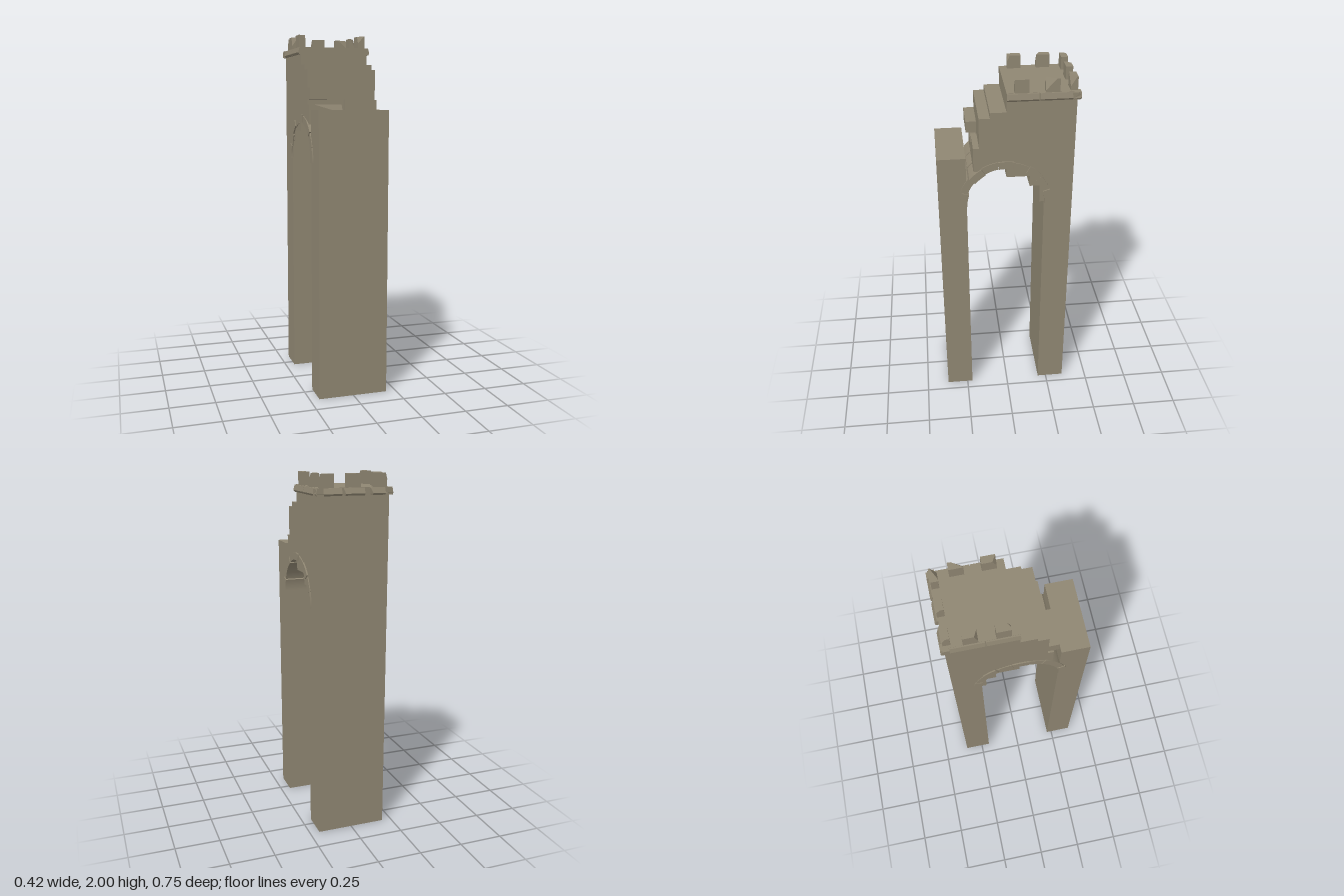
import * as THREE from 'three';
import { ConvexGeometry } from 'three/addons/geometries/ConvexGeometry.js';

export function createModel() {
  const root = new THREE.Group();
  root.name = 'ruinedArchTower';
  const stone = new THREE.MeshStandardMaterial({ color: 0x8f8672 });
  stone.name = 'weathered stone';

  const add = (name, geometry) => {
    const mesh = new THREE.Mesh(geometry, stone);
    mesh.name = name;
    root.add(mesh);
    return mesh;
  };

  // Box given by its limits
  const block = (name, x0, x1, y0, y1, z0, z1) =>
    add(name, new THREE.BoxGeometry(x1 - x0, y1 - y0, z1 - z0)
      .translate((x0 + x1) / 2, (y0 + y1) / 2, (z0 + z1) / 2));

  // Side profile drawn as (-z, y), extruded across x
  const acrossX = (shape, x0, x1) =>
    new THREE.ExtrudeGeometry(shape, { depth: x1 - x0, bevelEnabled: false, curveSegments: 10 })
      .rotateY(Math.PI / 2).translate(x0, 0, 0);

  // Box with one top corner broken off; sx, sz choose the corner
  const chipped = (name, [x0, x1], [y0, y1], [z0, z1], sx, sz, cx, cy, cz) => {
    const points = [];
    for (const x of [x0, x1]) for (const y of [y0, y1]) for (const z of [z0, z1]) {
      if (y === y1 && x === (sx > 0 ? x1 : x0) && z === (sz > 0 ? z1 : z0)) {
        points.push(new THREE.Vector3(x - sx * cx, y, z),
          new THREE.Vector3(x, y - cy, z), new THREE.Vector3(x, y, z - sz * cz));
      } else points.push(new THREE.Vector3(x, y, z));
    }
    return add(name, new ConvexGeometry(points));
  };

  // Front pillar, and rear pillar with the stepped wall above the opening
  block('frontPillar', -0.197, 0.195, 0, 1.58, 0.22, 0.372);
  const cu = -0.01, cy = 1.3, r = 0.23;
  const body = new THREE.Shape();
  body.moveTo(0.2, 0);
  [[0.355, 0], [0.355, 1.93], [-0.005, 1.93], [-0.005, 1.83], [-0.09, 1.83],
    [-0.09, 1.8], [-0.148, 1.8]].forEach(([u, y]) => body.lineTo(u, y));
  for (let i = 0; i <= 8; i++) {
    const u = -0.148 + (0.143 * i) / 8;
    body.lineTo(u, cy + Math.sqrt(r * r - (u - cu) ** 2));
  }
  [[-0.005, 1.46], [0.12, 1.46], [0.12, 1.4], [0.175, 1.4], [0.175, 1.3], [0.2, 1.3]]
    .forEach(([u, y]) => body.lineTo(u, y));
  add('rearPillarAndWall', acrossX(body, -0.197, 0.195));

  // Loose stones on the broken front of the wall
  block('projectingStone', -0.197, -0.002, 1.637, 1.7, 0.14, 0.205);
  block('lowerRightStone', 0.01, 0.195, 1.5, 1.635, 0.14, 0.18);
  chipped('lowerLeftStone', [-0.197, -0.002], [1.5, 1.61], [0.14, 0.18], 1, 1, 0.17, 0.05, 0.03);

  // Arch stones: three columns across the passage, slightly uneven
  const columns = [[-0.204, -0.066], [-0.063, 0.063], [0.066, 0.203]];
  const outer = [0.255, 0.25, 0.257, 0.248, 0.253, 0.25, 0.256, 0.249, 0.254];
  const count = outer.length;
  columns.forEach(([x0, x1], c) => {
    for (let i = 0; i < count; i++) {
      const a0 = -0.04 + (i * (Math.PI + 0.08)) / count;
      const a1 = a0 + (Math.PI + 0.08) / count - 0.008;
      const ro = outer[(i + c * 2) % count], ri = ro - 0.041;
      const arc = new THREE.Shape();
      arc.absarc(cu, cy, ro, a0, a1, false);
      arc.absarc(cu, cy, ri, a1, a0, true);
      arc.closePath();
      const jut = 0.003 * (i % 2);
      add('archStone', acrossX(arc, x0 + (c === 0 ? jut : 0), x1 - (c === 2 ? jut : 0)));
    }
  });

  // Floor edge moulding on both sides and the rear, with a sloped upper edge
  for (const s of [-1, 1]) {
    for (const [z0, z1] of [[-0.372, -0.163], [-0.159, 0.005]]) {
      const points = [];
      for (const z of [z0, z1]) {
        for (const [x, y] of [[0.17, 1.89], [0.205, 1.89], [0.212, 1.9], [0.204, 1.929], [0.17, 1.929]])
          points.push(new THREE.Vector3(s * x, y, z));
      }
      add('sideMoulding', new ConvexGeometry(points));
    }
  }
  for (const [x0, x1, cut] of [[-0.212, -0.08, 0.02], [-0.056, 0.066, 0.016], [0.069, 0.212, 0.005]]) {
    const points = [];
    for (const [z, y, k] of [[-0.33, 1.89, 0], [-0.366, 1.89, 1], [-0.373, 1.9, 1], [-0.362, 1.929, 0.4], [-0.33, 1.929, 0]])
      points.push(new THREE.Vector3(x0, y, z), new THREE.Vector3(x1 - k * cut, y, z));
    add('rearMoulding', new ConvexGeometry(points));
  }

  // Battlements, each with a broken corner
  const top = [1.925, 2];
  const left = [0.157, 0.196], right = [-0.197, -0.158];
  const rear = [-0.265, -0.193], front = [-0.108, -0.036], back = [-0.357, -0.32];
  chipped('battlement', right, top, rear, -1, 1, 0.035, 0.05, 0.018);
  chipped('battlement', right, top, front, 1, 1, 0.025, 0.03, 0.014);
  chipped('battlement', left, top, rear, 1, 1, 0.036, 0.06, 0.055);
  chipped('battlement', left, top, front, -1, 1, 0.036, 0.04, 0.02);
  chipped('battlement', [-0.183, -0.11], top, back, -1, -1, 0.02, 0.03, 0.018);
  chipped('battlement', [-0.037, 0.037], top, back, -1, -1, 0.02, 0.025, 0.018);
  chipped('battlement', [0.11, 0.183], top, back, 1, 1, 0.06, 0.05, 0.03);
  return root;
}
